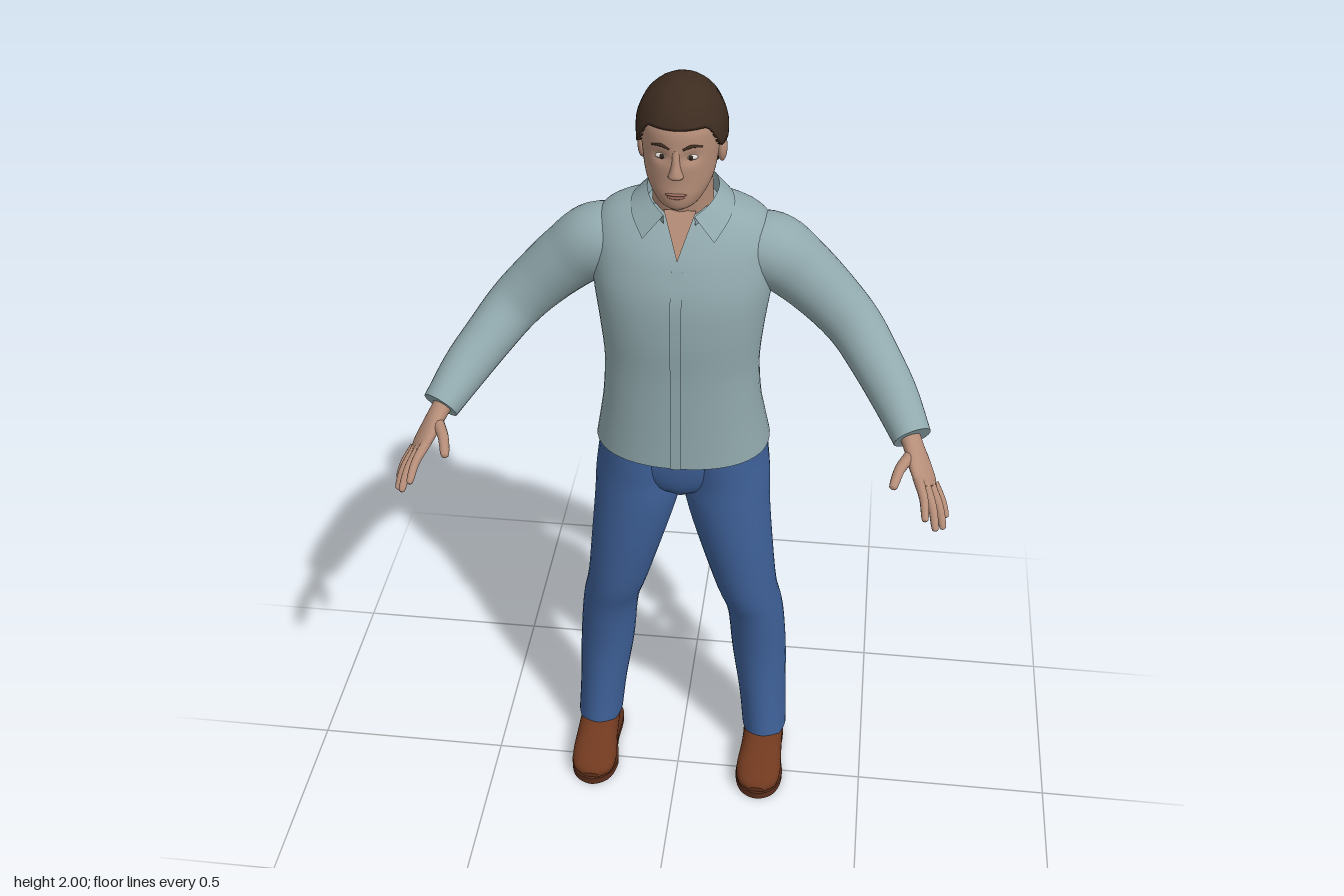
import * as THREE from 'three';

const mat = (name, color, side = THREE.FrontSide) => {
  const m = new THREE.MeshStandardMaterial({ color, side });
  m.name = name;
  return m;
};
const V = (p) => new THREE.Vector3(p[0], p[1], p[2]);
const { smoothstep } = THREE.MathUtils;

// Section helper: height, half width, front z, back z, centre x
const sec = (y, a, zf, zb, x = 0) => [x, y, (zf + zb) / 2, a, (zf - zb) / 2];
const mirror = (rows, s) => rows.map((r) => [r[0] * s, ...r.slice(1)]);

// Smooth skin through rounded sections [x, y, z, half width, half depth].
// Sections lie flat when level is true, otherwise square to the path.
function loft(rows, { sides = 32, steps = 4, hint = [1, 0, 0], level = false, pow = 2, rule } = {}) {
  const path = new THREE.CatmullRomCurve3(rows.map(V), false, 'catmullrom');
  const size = new THREE.CatmullRomCurve3(rows.map((r) => new THREE.Vector3(r[3], r[4], 0)), false, 'catmullrom');
  const n = (rows.length - 1) * steps;
  const pos = [], index = [];
  const se = (v) => Math.sign(v) * Math.abs(v) ** (2 / pow);
  for (let i = 0; i <= n; i++) {
    const c = path.getPoint(i / n), r = size.getPoint(i / n);
    const t = level ? new THREE.Vector3(0, 1, 0) : path.getTangent(i / n);
    const u = V(hint).addScaledVector(t, -V(hint).dot(t)).normalize();
    const v = t.clone().cross(u);
    for (let j = 0; j < sides; j++) {
      const k = (j / sides) * Math.PI * 2;
      const p = c.clone().addScaledVector(u, r.x * se(Math.cos(k))).addScaledVector(v, r.y * se(Math.sin(k)));
      if (rule) rule(p);
      pos.push(p.x, p.y, p.z);
      if (i < n) {
        const a = i * sides + j, b = i * sides + ((j + 1) % sides);
        index.push(a, b, b + sides, a, b + sides, a + sides);
      }
    }
  }
  // End caps with their own corners, so rims stay crisp
  for (const end of [0, n]) {
    const first = pos.length / 3, c = path.getPoint(end / n);
    pos.push(...pos.slice(end * sides * 3, (end + 1) * sides * 3), c.x, c.y, c.z);
    for (let j = 0; j < sides; j++) {
      const a = first + j, b = first + ((j + 1) % sides);
      index.push(first + sides, ...(end ? [a, b] : [b, a]));
    }
  }
  return surface(pos, index);
}

function surface(pos, index) {
  const g = new THREE.BufferGeometry();
  g.setAttribute('position', new THREE.Float32BufferAttribute(pos, 3));
  g.setIndex(index);
  g.computeVertexNormals();
  return g;
}

// Open strip between two edge curves
function ribbon(edgeA, edgeB, n = 40) {
  const A = new THREE.CatmullRomCurve3(edgeA.map(V)), B = new THREE.CatmullRomCurve3(edgeB.map(V));
  const pos = [], index = [];
  for (let i = 0; i <= n; i++) {
    pos.push(...A.getPoint(i / n).toArray(), ...B.getPoint(i / n).toArray());
    const k = i * 2;
    if (i < n) index.push(k, k + 1, k + 3, k, k + 3, k + 2);
  }
  return surface(pos, index);
}

// Hair cap: a dome whose lower edge follows a hairline round the head
function hairGeometry() {
  const cols = 64, rowsN = 24;
  const g = new THREE.SphereGeometry(1, cols, rowsN);
  const p = g.attributes.position;
  for (let i = 0; i < p.count; i++) {
    const row = Math.floor(i / (cols + 1)), k = ((i % (cols + 1)) / cols) * Math.PI * 2;
    const c = Math.sin(k); // 1 at the front, -1 at the back
    const edge = 1.22 + 0.53 * (1 - smoothstep(c, 0.35, 0.8)) + 0.75 * (1 - smoothstep(c, -0.5, -0.12));
    const th = edge * Math.min(1, row / (rowsN - 1));
    const low = Math.max(0, th - Math.PI / 2);
    let r = low > 0 ? 1 - 0.18 * low * low : Math.sin(th);
    r *= 1 + 0.012 * Math.sin(9 * k + 2 * th) * Math.sin(5 * th);
    if (row === rowsN) r *= 0.8; // rim turned in
    const y = low > 0 ? 1.885 - 0.11 * low : 1.885 + 0.115 * Math.cos(th);
    p.setXYZ(i, -Math.cos(k) * r * 0.1, y, -0.073 + c * r * 0.121);
  }
  g.computeVertexNormals();
  return g;
}

export function createModel() {
  const model = new THREE.Group();
  const skin = mat('skin', 0xb58d78), shirt = mat('shirt cloth', 0x91a9ad, THREE.DoubleSide);
  const denim = mat('denim', 0x3d5f96), hair = mat('hair', 0x3d2c20, THREE.DoubleSide);
  const leather = mat('shoe leather', 0x70391f), soleMat = mat('sole', 0x5a2e1b);
  const white = mat('eye white', 0xd8d2cc), iris = mat('iris', 0x2a201a), lip = mat('lip', 0x9c6c5e);
  const add = (name, geo, material) => {
    const m = new THREE.Mesh(geo, material);
    m.name = name;
    model.add(m);
    return m;
  };
  const ball = (name, material, at, scale) => {
    const m = add(name, new THREE.SphereGeometry(1, 20, 14), material);
    m.position.set(...at);
    m.scale.set(...scale);
  };

  // Shirt body, with a shallow groove down the spine
  const torso = [
    sec(1.05, 0.212, 0.045, -0.282), sec(1.12, 0.2, 0.044, -0.255), sec(1.2, 0.188, 0.044, -0.226),
    sec(1.3, 0.183, 0.045, -0.216), sec(1.4, 0.192, 0.05, -0.223), sec(1.5, 0.206, 0.045, -0.24),
    sec(1.58, 0.21, 0.022, -0.248), sec(1.63, 0.203, -0.003, -0.238), sec(1.67, 0.17, -0.03, -0.215),
    sec(1.7, 0.095, -0.05, -0.185)];
  add('shirtBody', loft(torso, {
    sides: 56, level: true, pow: 2.25,
    rule: (p) => { if (p.z < -0.12) p.z += 0.011 * Math.exp(-((p.x / 0.04) ** 2)); },
  }), shirt);
  const strip = (x) => torso.slice(0, 7).map((r) => [x, r[1], r[2] + r[4] + 0.003]);
  add('buttonPlacket', ribbon(strip(-0.013), strip(0.013)), shirt);

  // Collar: one half drawn, the other mirrored
  const both = (half) => [...half.slice(1).reverse().map((q) => [-q[0], q[1], q[2]]), ...half];
  const top = both([[0, 1.745, -0.178], [0.06, 1.742, -0.155], [0.08, 1.732, -0.1], [0.064, 1.712, -0.05], [0.034, 1.695, -0.018]]);
  const fall = both([[0, 1.695, -0.212], [0.075, 1.7, -0.19], [0.114, 1.697, -0.115], [0.11, 1.68, -0.052], [0.08, 1.642, -0.002]]);
  const band = both([[0, 1.68, -0.172], [0.058, 1.68, -0.15], [0.076, 1.68, -0.1], [0.06, 1.68, -0.055], [0.035, 1.67, -0.025]]);
  add('collar', ribbon(top, fall), shirt);
  add('collarBand', ribbon(top, band), shirt);

  // Open neck and throat
  add('openNeck', surface([0, 1.6, 0.019, 0.036, 1.7, -0.036, -0.036, 1.7, -0.036], [0, 1, 2]), skin);
  add('neck', loft([[0, 1.62, -0.11, 0.078, 0.068], [0, 1.7, -0.1, 0.069, 0.066], [0, 1.8, -0.085, 0.066, 0.07]], { level: true }), skin);

  // Head with shallow eye sockets
  add('head', loft([
    sec(1.733, 0.022, 0.026, -0.04), sec(1.745, 0.044, 0.037, -0.07), sec(1.77, 0.062, 0.042, -0.1),
    sec(1.8, 0.075, 0.041, -0.125), sec(1.84, 0.082, 0.042, -0.15), sec(1.88, 0.086, 0.04, -0.16),
    sec(1.92, 0.086, 0.035, -0.165), sec(1.96, 0.068, 0.008, -0.14), sec(1.98, 0.025, -0.04, -0.1)], {
    sides: 64, steps: 6, level: true,
    rule: (p) => {
      const dx = (Math.abs(p.x) - 0.032) / 0.018, dy = (p.y - 1.861) / 0.012;
      if (p.z > -0.03) p.z -= 0.008 * Math.exp(-dx * dx - dy * dy);
    },
  }), skin);
  add('nose', loft([
    [0, 1.813, 0.037, 0.009, 0.009], [0, 1.82, 0.041, 0.017, 0.015], [0, 1.832, 0.041, 0.013, 0.014],
    [0, 1.85, 0.039, 0.009, 0.01], [0, 1.878, 0.035, 0.008, 0.006]], { level: true, sides: 20 }), skin);
  ball('lips', lip, [0, 1.777, 0.038], [0.024, 0.004, 0.008]);
  ball('lowerLip', lip, [0, 1.771, 0.038], [0.019, 0.005, 0.008]);
  add('hair', hairGeometry(), hair);

  for (const s of [1, -1]) {
    const side = s > 0 ? 'left' : 'right';
    const limb = (name, rows, material, opts = {}) => add(side + name, loft(mirror(rows, s), opts), material);

    // Face details
    ball(side + 'Ear', skin, [s * 0.087, 1.835, -0.082], [0.011, 0.032, 0.019]);
    ball(side + 'Eye', white, [s * 0.032, 1.861, 0.025], [0.014, 0.006, 0.008]);
    ball(side + 'Iris', iris, [s * 0.031, 1.861, 0.0305], [0.0055, 0.0055, 0.004]);
    limb('Brow', [[0.014, 1.881, 0.036, 0.003, 0.004], [0.033, 1.888, 0.031, 0.004, 0.004], [0.054, 1.882, 0.017, 0.002, 0.002]],
      hair, { sides: 10, hint: [0, 1, 0] });

    // Sleeve
    limb('Sleeve', [
      [0.11, 1.59, -0.115, 0.075, 0.06], [0.195, 1.572, -0.12, 0.088, 0.084], [0.265, 1.52, -0.125, 0.08, 0.078],
      [0.34, 1.45, -0.122, 0.07, 0.07], [0.4, 1.39, -0.103, 0.062, 0.065], [0.45, 1.335, -0.055, 0.059, 0.06],
      [0.5, 1.28, 0.01, 0.054, 0.055], [0.547, 1.222, 0.09, 0.049, 0.044]], shirt, { steps: 6, hint: [0, 0, 1] });

    // Hand
    const across = [0.6 * s, -0.57, -0.52];
    limb('Palm', [
      [0.53, 1.24, 0.065, 0.03, 0.024], [0.55, 1.212, 0.105, 0.029, 0.021], [0.566, 1.185, 0.135, 0.039, 0.019],
      [0.58, 1.163, 0.162, 0.042, 0.016], [0.59, 1.15, 0.178, 0.036, 0.01]], skin, { sides: 24, hint: across });
    const fingers = {
      Index: [[0.563, 1.178, 0.178], [0.579, 1.157, 0.23], [0.585, 1.13, 0.278]],
      Middle: [[0.578, 1.166, 0.172], [0.6, 1.132, 0.222], [0.611, 1.092, 0.262]],
      Ring: [[0.592, 1.152, 0.16], [0.617, 1.115, 0.2], [0.63, 1.072, 0.228]],
      Little: [[0.604, 1.14, 0.146], [0.625, 1.11, 0.171], [0.637, 1.078, 0.192]],
      Thumb: [[0.548, 1.203, 0.128], [0.523, 1.197, 0.178], [0.508, 1.178, 0.23]],
    };
    for (const [name, [a, b, c]] of Object.entries(fingers)) {
      const r = name === 'Thumb' ? 0.0125 : name === 'Little' ? 0.0085 : 0.01;
      const near = c.map((v, i) => v + (b[i] - v) * 0.15);
      limb(name + 'Finger', [[...a, r * 1.2, r * 1.2], [...b, r, r], [...near, r * 0.8, r * 0.8], [...c, r * 0.25, r * 0.25]],
        skin, { sides: 12, hint: across });
    }

    // Trouser leg
    limb('TrouserLeg', [
      sec(0.09, 0.06, -0.022, -0.2, 0.229), sec(0.2, 0.063, -0.034, -0.205, 0.22), sec(0.35, 0.072, -0.041, -0.212, 0.206),
      sec(0.5, 0.073, -0.025, -0.206, 0.192), sec(0.6, 0.078, -0.002, -0.191, 0.168), sec(0.75, 0.093, 0.01, -0.19, 0.138),
      sec(0.88, 0.106, 0.012, -0.205, 0.114), sec(0.95, 0.108, 0.01, -0.232, 0.109), sec(1.01, 0.105, 0.012, -0.252, 0.105),
      sec(1.07, 0.1, 0.012, -0.25, 0.103)], denim, { level: true });

    // Shoe with flat sole
    limb('Shoe', [
      [0.229, 0.05, -0.198, 0.026, 0.03], [0.229, 0.056, -0.182, 0.046, 0.045], [0.229, 0.06, -0.1, 0.052, 0.052],
      [0.228, 0.053, -0.02, 0.056, 0.048], [0.226, 0.042, 0.04, 0.06, 0.036], [0.226, 0.034, 0.085, 0.05, 0.026],
      [0.226, 0.028, 0.106, 0.022, 0.012]], leather, { pow: 2.4 });
    const outline = new THREE.Shape();
    outline.setFromPoints(new THREE.CatmullRomCurve3(
      [[0, -0.112], [0.042, -0.092], [0.063, -0.035], [0.052, 0.05], [0.05, 0.165], [0, 0.202],
        [-0.05, 0.165], [-0.052, 0.05], [-0.063, -0.035], [-0.042, -0.092]].map((q) => V([...q, 0])), true).getPoints(48));
    const sole = new THREE.ExtrudeGeometry(outline, { depth: 0.02, bevelEnabled: false });
    sole.rotateX(-Math.PI / 2).translate(s * 0.227, 0, 0);
    add(side + 'Sole', sole, soleMat);
  }

  // Seat of the trousers, joining both legs
  add('trouserSeat', loft([
    [0, 0.91, -0.095, 0.03, 0.06], [0, 0.945, -0.105, 0.12, 0.1], [0, 1.0, -0.12, 0.195, 0.128], [0, 1.07, -0.12, 0.2, 0.13]],
  { level: true }), denim);

  return model;
}
